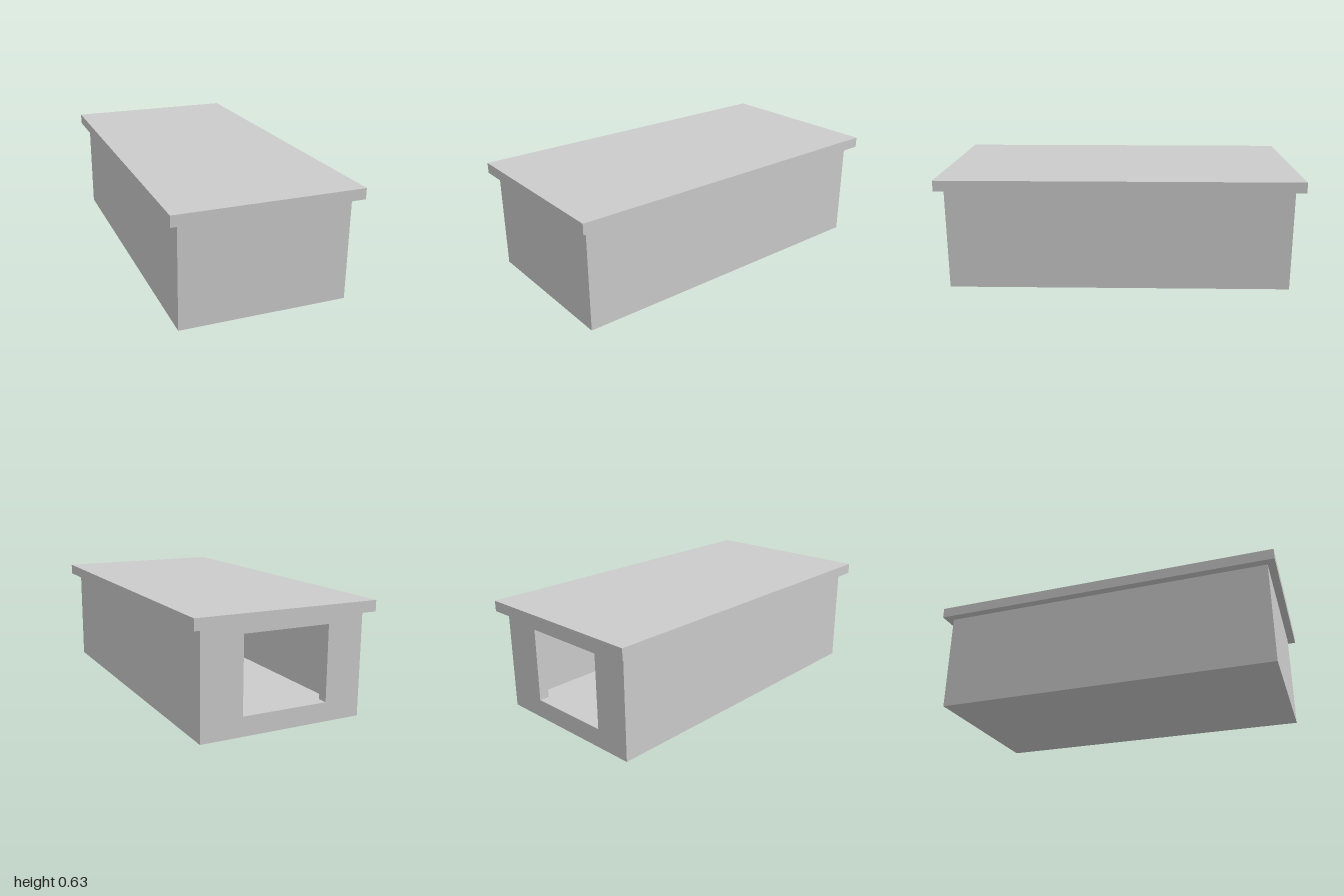
import * as THREE from 'three';

const material = new THREE.MeshStandardMaterial({ color: 0xcccccc, flatShading: true });

// Body limits, wall and floor thickness
const X0 = -0.468, X1 = 0.463, Z0 = -0.954, Z1 = 0.957;
const HEIGHT = 0.57, WALL = 0.057, FLOOR = 0.05;

function outline(Type, points) {
  return new Type(points.map(([x, y]) => new THREE.Vector2(x, y)));
}

function rectangle(Type, x0, x1, y0, y1) {
  return outline(Type, [[x0, y0], [x1, y0], [x1, y1], [x0, y1]]);
}

// Extrudes an x-y outline from z0 to z1
function addPart(group, name, shape, z0, z1) {
  const geometry = new THREE.ExtrudeGeometry(shape, { depth: z1 - z0, bevelEnabled: false });
  geometry.translate(0, 0, z0);
  const mesh = new THREE.Mesh(geometry, material);
  mesh.name = name;
  group.add(mesh);
}

export function createModel() {
  const group = new THREE.Group();
  group.name = 'flatRoofedBox';

  // Floor and both side walls as one U-shaped section
  const trough = outline(THREE.Shape, [
    [X0, 0], [X1, 0], [X1, HEIGHT], [X1 - WALL, HEIGHT],
    [X1 - WALL, FLOOR], [X0 + WALL, FLOOR], [X0 + WALL, HEIGHT], [X0, HEIGHT],
  ]);
  addPart(group, 'floorAndSideWalls', trough, Z0 + WALL, Z1 - WALL);

  // Closed front wall
  addPart(group, 'frontWall', rectangle(THREE.Shape, X0, X1, 0, HEIGHT), Z1 - WALL, Z1);

  // Back wall with a rectangular opening
  const backWall = rectangle(THREE.Shape, X0, X1, 0, HEIGHT);
  backWall.holes.push(rectangle(THREE.Path, -0.26, 0.23, 0.105, 0.52));
  addPart(group, 'backWall', backWall, Z0, Z0 + WALL);

  // Overhanging flat roof
  addPart(group, 'roof', rectangle(THREE.Shape, -0.515, 0.515, HEIGHT, 0.63), -1, 1);

  return group;
}
